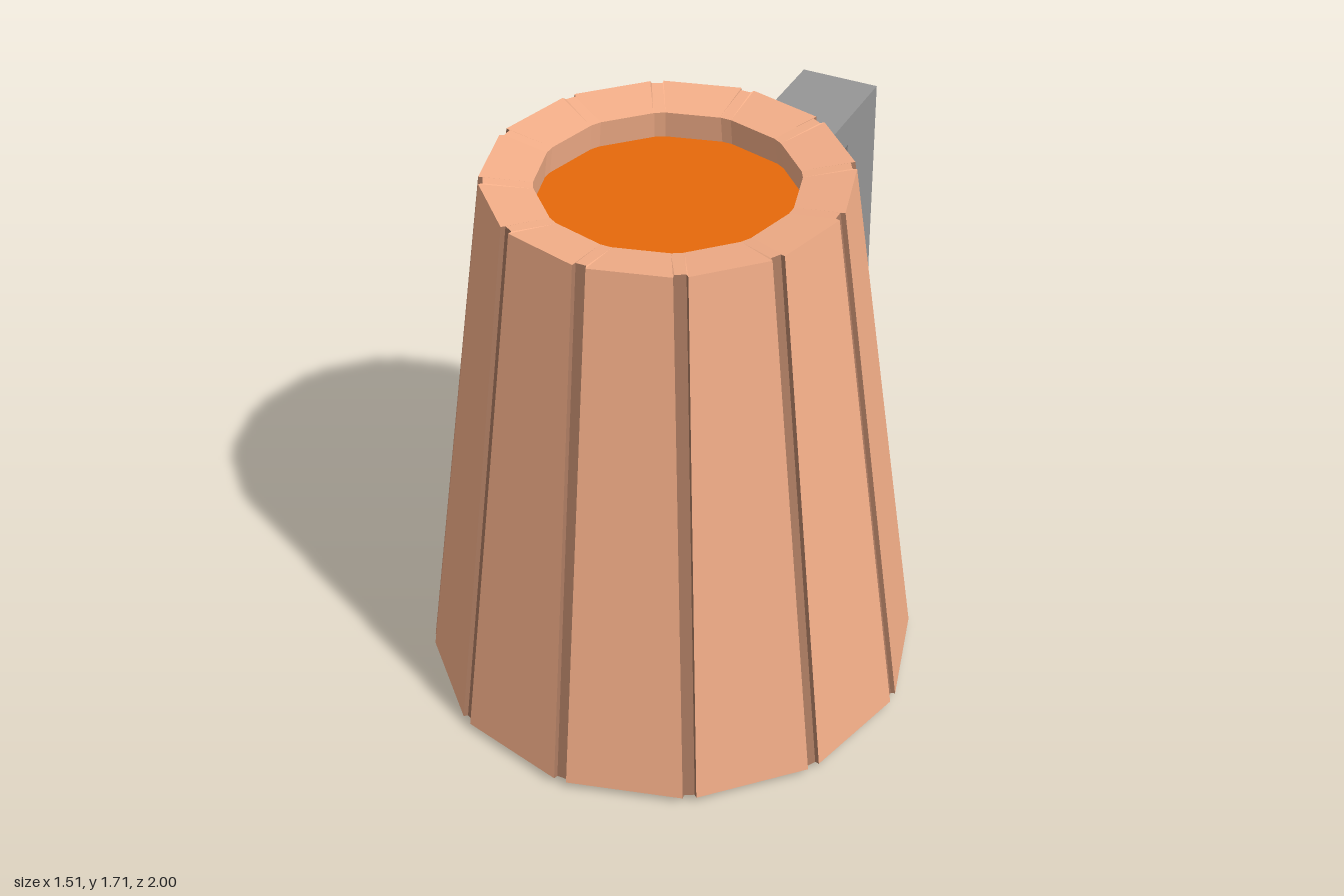
import * as THREE from 'three';

const SIDES = 12, HEIGHT = 1.705, BASE_Y = 0.022, BASE_R = 0.76, TOP_R = 0.532, CENTER_Z = 0.245;
const GROOVE = 0.014, HALF = 0.02, SLOPE = Math.tan(Math.PI / SIDES);

// One horizontal loop: each corner is a flat-bottomed groove, two lips and two floor points
function ring(radius, y, groove = 0) {
  const points = [];
  for (let i = 0; i < SIDES; i++) {
    const a = (i / SIDES) * Math.PI * 2;
    for (const s of [-1, -0.8, 0.8, 1]) {
      const r = radius - HALF * Math.abs(s) * SLOPE - (Math.abs(s) < 1 ? groove : 0);
      const x = r * Math.sin(a) + s * HALF * Math.cos(a);
      const z = r * Math.cos(a) - s * HALF * Math.sin(a);
      points.push([x, y, z]);
    }
  }
  return points;
}

// Flat-faced skin through a sequence of loops; keep picks the columns to build
function loft(rings, keep = () => true) {
  const pos = [];
  for (let k = 0; k < rings.length - 1; k++) {
    const lo = rings[k], hi = rings[k + 1], n = lo.length;
    for (let i = 0; i < n; i++) {
      if (!keep(i)) continue;
      const j = (i + 1) % n;
      pos.push(...lo[i], ...lo[j], ...hi[j], ...lo[i], ...hi[j], ...hi[i]);
    }
  }
  const geo = new THREE.BufferGeometry();
  geo.setAttribute('position', new THREE.Float32BufferAttribute(pos, 3));
  geo.computeVertexNormals();
  return geo;
}

// Twelve-sided disc with a corner facing front
function disc(radius, y, up) {
  const geo = new THREE.CircleGeometry(radius, SIDES);
  geo.rotateX(up ? -Math.PI / 2 : Math.PI / 2);
  geo.translate(0, y, 0);
  return geo;
}

// C-shaped handle whose arm ends follow the tapered, faceted wall
function handleGeometry() {
  const outline = [[0.3, 0.49], [1, 0.49], [1, 1.387], [0.3, 1.387], [0.3, 1.29], [0.77, 1.29], [0.77, 0.595], [0.3, 0.595]];
  const shape = new THREE.Shape(outline.map(([u, y]) => new THREE.Vector2(u, y)));
  const geo = new THREE.ExtrudeGeometry(shape, { depth: 0.256, steps: 2, bevelEnabled: false });
  geo.translate(0, 0, -0.128);
  geo.rotateY(Math.PI / 2);
  const p = geo.attributes.position;
  for (let i = 0; i < p.count; i++) {
    if (p.getZ(i) < -0.5) continue;
    const t = (p.getY(i) - BASE_Y) / (HEIGHT - BASE_Y);
    const r = THREE.MathUtils.lerp(BASE_R, TOP_R, t) - Math.abs(p.getX(i)) * SLOPE;
    p.setZ(i, CENTER_Z - r);
  }
  geo.computeVertexNormals();
  return geo;
}

export function createModel() {
  const group = new THREE.Group();
  const paint = (color) => new THREE.MeshStandardMaterial({ color, flatShading: true });
  const wood = paint(0xf3ae88), darkWood = paint(0xaa7a60), metal = paint(0x969696), drink = paint(0xe6690a);

  const add = (name, geo, material, z = CENTER_Z) => {
    const mesh = new THREE.Mesh(geo, material);
    mesh.name = name;
    mesh.position.z = z;
    group.add(mesh);
  };

  // Outer wall: broad staves with narrow darker grooves between them
  const base = ring(BASE_R, BASE_Y, GROOVE), top = ring(TOP_R, HEIGHT, GROOVE);
  add('staves', loft([base, top], (i) => i % 4 === 3), wood);
  add('grooves', loft([base, top], (i) => i % 4 !== 3), darkWood);

  // Sloped foot and rim; the inner wall leans parallel to the outer one
  add('foot', loft([ring(0.587, 0.155), ring(0.608, 0), base]), wood);
  add('rim', loft([top, ring(0.38, HEIGHT - 0.022), ring(0.392, 1.59)]), wood);
  add('mugBottom', disc(0.587, 0.155, false), wood);
  add('drinkSurface', disc(0.391, 1.597, true), drink);

  add('handle', handleGeometry(), metal, 0);
  return group;
}
